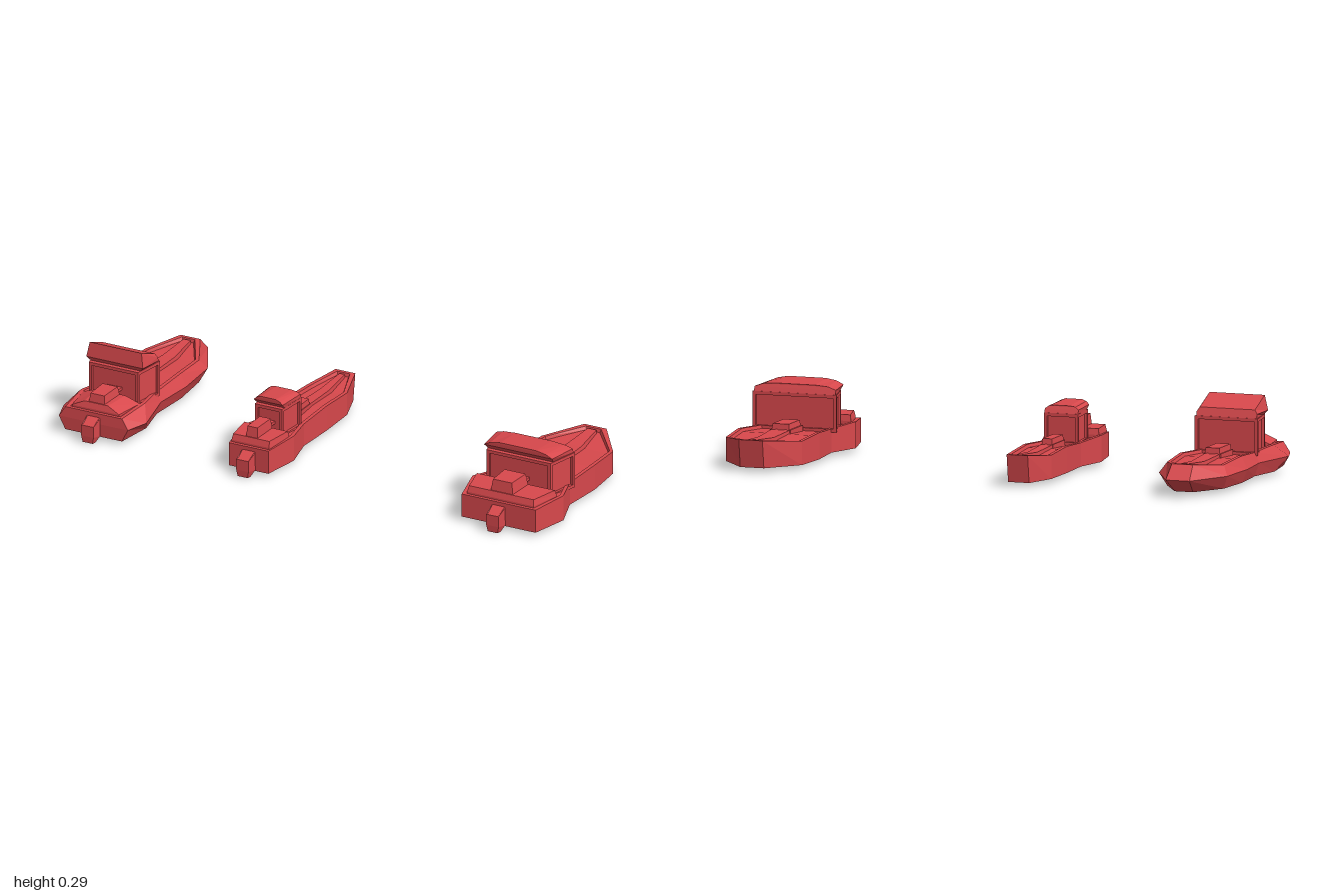
import * as THREE from 'three';

const red = new THREE.MeshStandardMaterial({ color: 0xd8484c, flatShading: true });

function meshFrom(name, quads) {
  const pos = [];
  for (const [a, b, c, d] of quads) for (const p of [a, b, c, a, c, d]) pos.push(...p);
  const g = new THREE.BufferGeometry();
  g.setAttribute('position', new THREE.Float32BufferAttribute(pos, 3));
  g.computeVertexNormals();
  const m = new THREE.Mesh(g, red);
  m.name = name;
  return m;
}

// Closed symmetric body. Each level is a list of stations [halfWidth, y, z], back (-z) to front (+z).
function loft(name, levels) {
  const rings = levels.map(l => [
    ...l.map(([w, y, z]) => [w, y, z]),
    ...l.slice().reverse().map(([w, y, z]) => [-w, y, z]),
  ]);
  const quads = [], n = rings[0].length;
  for (let k = 0; k < rings.length - 1; k++)
    for (let i = 0; i < n; i++) {
      const j = (i + 1) % n;
      quads.push([rings[k][i], rings[k + 1][i], rings[k + 1][j], rings[k][j]]);
    }
  const bottom = rings[0], top = rings[rings.length - 1];
  for (let i = 0; i < n / 2 - 1; i++) {
    const l = n - 1 - i;
    quads.push([top[i], top[l], top[l - 1], top[i + 1]]);
    quads.push([bottom[i], bottom[i + 1], bottom[l - 1], bottom[l]]);
  }
  return meshFrom(name, quads);
}

// Tapered block with back half width wb at z0 and front half width wf at z1
const block = (name, wb, wf, z0, z1, y0, y1, shrink = 1, dz = 0) => loft(name, [
  [[wb, y0, z0], [wf, y0, z1]],
  [[wb * shrink, y1, z0 + dz], [wf * shrink, y1, z1 - dz]],
]);

// Cabin whose four walls carry recessed panels
function cabin(wb, wf, z0, z1, y0, y1) {
  const foot = [[wb, z0], [wf, z1], [-wf, z1], [-wb, z0]];
  const quads = [];
  const V = p => new THREE.Vector3(...p);
  foot.forEach(([x, z], i) => {
    const [x2, z2] = foot[(i + 1) % 4];
    const q = [[x, y0, z], [x, y1, z], [x2, y1, z2], [x2, y0, z2]];
    const c = q.map(V);
    const u = c[3].clone().sub(c[0]).normalize(), v = new THREE.Vector3(0, 1, 0);
    const inward = u.clone().cross(v).multiplyScalar(0.01);
    const e = 0.012;
    const rim = c.map((p, k) => p.clone()
      .addScaledVector(u, k < 2 ? e : -e)
      .addScaledVector(v, k === 0 || k === 3 ? e : -e));
    const inner = rim.map(p => p.clone().add(inward).toArray());
    const edge = rim.map(p => p.toArray());
    for (let k = 0; k < 4; k++) {
      const m = (k + 1) % 4;
      quads.push([q[k], q[m], edge[m], edge[k]], [edge[k], edge[m], inner[m], inner[k]]);
    }
    quads.push(inner);
  });
  const top = foot.map(([x, z]) => [x, y1, z]);
  quads.push([top[0], top[3], top[2], top[1]]);
  return meshFrom('cabin', quads);
}

const sheer = [0.118, 0.103, 0.113, 0.103, 0.113, 0.105];
const deckZ = [-0.36, -0.225, -0.07, 0.09, 0.22, 0.365];

function boat(name, s) {
  const g = new THREE.Group();
  g.name = name;
  const top = s.deck.map((w, i) => [w, sheer[i], deckZ[i]]);
  const inset = (w, z, d) => [Math.max(w - d, 0.015), z + (z < -0.3 ? d : z > 0.3 ? -d : 0)];
  const rim = (dy, d) => top.map(([w, y, z]) => {
    const [iw, iz] = inset(w, z, d);
    return [iw, y - dy, iz];
  });
  // Hull with a raised gunwale around a sunken deck
  const levels = [s.keel.map((w, i) => [w, 0.017, i === 0 ? -0.345 : deckZ[i]])];
  if (s.bulge) levels.push(s.bulge.map((w, i) => [w, 0.066, s.bulgeZ[i]]));
  levels.push(top, rim(0, 0.014), rim(0.012, 0.018));
  g.add(loft('hull', levels));

  // Stern deck, engine cover and the step behind the cabin
  const w = s.stern;
  g.add(loft('sternDeck', [
    [[w, 0.095, 0.23], [w * 0.83, 0.095, 0.352]],
    [[w, 0.112, 0.23], [w * 0.83, 0.112, 0.352]],
    [[w * s.sternTaper, 0.134, 0.235], [w * 0.83 * s.sternTaper, 0.134, 0.345]],
  ]));
  g.add(block('engineCover', s.cover, s.cover * 0.9, 0.235, 0.342, 0.13, s.coverTop, 0.85, 0.006));
  g.add(block('sternStep', s.cover * 0.8, s.cover * 0.8, 0.205, 0.24, 0.138, 0.149));

  // Outboard drive
  g.add(loft('outboardDrive', [
    [[0.02, 0.002, 0.388], [0.02, 0.005, 0.41]],
    [[0.027, 0.02, 0.365], [0.025, 0.03, 0.412]],
    [[0.027, 0.092, 0.355], [0.025, 0.071, 0.412]],
    [[0.025, 0.096, 0.355], [0.022, 0.073, 0.4]],
  ]));

  // Cabin and roof
  g.add(cabin(s.cabinBack, s.cabinFront, 0.088, 0.217, 0.09, s.cabinTop));
  g.add(loft('roof', s.roof));

  // Hatch and tapered ridge on the foredeck
  g.add(block('hatchBase', s.hatch * 1.15, s.hatch * 1.15, -0.057, 0.07, 0.09, 0.114));
  g.add(block('hatch', s.hatch, s.hatch, -0.055, 0.063, 0.11, 0.134, 0.9, 0.003));
  g.add(loft('foredeckRidge', [
    [[s.ridge * 0.65, 0.09, -0.335], [s.ridge, 0.09, -0.2], [s.ridge * 1.2, 0.09, -0.05]],
    [[s.ridge * 0.55, 0.117, -0.335], [s.ridge * 0.9, 0.107, -0.2], [s.ridge * 1.1, 0.113, -0.05]],
  ]));
  g.position.x = s.x;
  return g;
}

// Rounded roof with an overhanging front
const roundRoof = (wb, wf, y, rise) => [
  [[wb, y, 0.09], [wf, y, 0.2]],
  [[wb, y + rise * 0.42, 0.096], [wf * 1.05, y + rise * 0.5, 0.219]],
  [[wb * 0.8, y + rise * 0.68, 0.1], [wf * 0.85, y + rise * 0.82, 0.22]],
  [[wb * 0.48, y + rise * 0.78, 0.1], [wf * 0.55, y + rise, 0.22]],
];

export function createModel() {
  const model = new THREE.Group();
  model.name = 'boats';
  const wide = [0.045, 0.145, 0.155, 0.14, 0.185, 0.15];
  const slim = [0.04, 0.08, 0.082, 0.075, 0.105, 0.08];
  model.add(boat('flaredBoat', {
    x: -0.832,
    deck: [0.04, 0.108, 0.117, 0.108, 0.13, 0.115],
    keel: [0.035, 0.108, 0.12, 0.108, 0.135, 0.115],
    bulge: [0.045, 0.13, 0.14, 0.125, 0.168, 0.14], bulgeZ: [-0.41, -0.25, -0.07, 0.09, 0.28, 0.367],
    stern: 0.115, sternTaper: 0.5, cover: 0.036, coverTop: 0.165,
    cabinBack: 0.12, cabinFront: 0.1, cabinTop: 0.225, hatch: 0.029, ridge: 0.026,
    // Wedge roof, tallest above the stern side
    roof: [
      [[0.115, 0.225, 0.09], [0.102, 0.225, 0.2]],
      [[0.115, 0.24, 0.095], [0.115, 0.24, 0.208]],
      [[0.105, 0.255, 0.1], [0.105, 0.295, 0.2]],
    ],
  }));
  model.add(boat('slimBoat', {
    x: -0.202, deck: slim, keel: slim,
    stern: 0.092, sternTaper: 0.96, cover: 0.026, coverTop: 0.172,
    cabinBack: 0.065, cabinFront: 0.055, cabinTop: 0.205, hatch: 0.02, ridge: 0.019,
    roof: roundRoof(0.064, 0.056, 0.205, 0.035),
  }));
  model.add(boat('wideBoat', {
    x: 0.814, deck: wide, keel: wide,
    stern: 0.163, sternTaper: 0.97, cover: 0.05, coverTop: 0.176,
    cabinBack: 0.16, cabinFront: 0.13, cabinTop: 0.225, hatch: 0.034, ridge: 0.032,
    roof: roundRoof(0.155, 0.132, 0.225, 0.04),
  }));
  return model;
}
